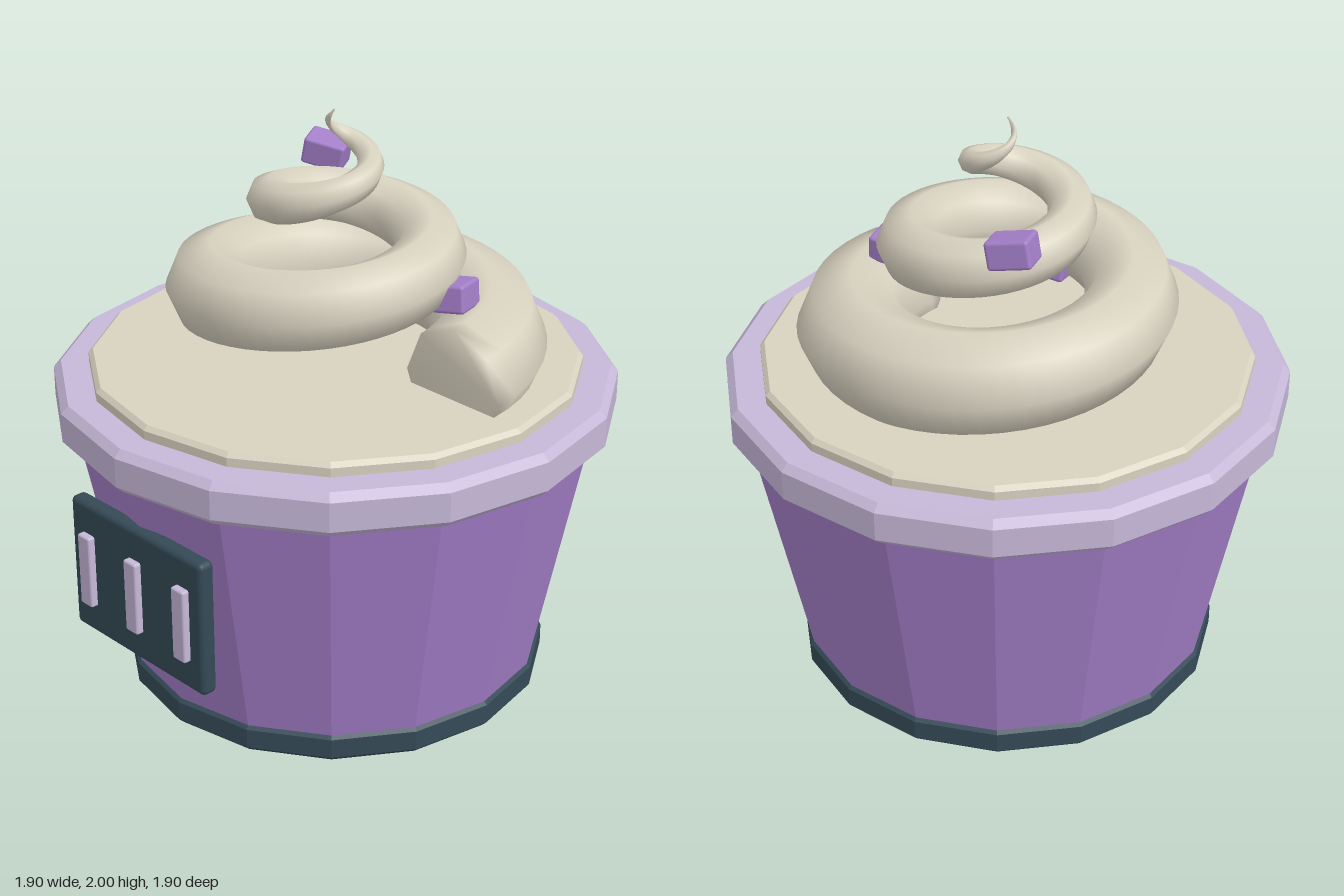
import * as THREE from 'three';
import { RoundedBoxGeometry } from 'three/addons/geometries/RoundedBoxGeometry.js';

const SIDES = 16;

// Faceted 16-sided solid from a [radius, height] profile
function faceted(profile) {
  const pts = profile.map(([r, y]) => new THREE.Vector2(r, y));
  const g = new THREE.LatheGeometry(pts, SIDES).toNonIndexed();
  g.computeVertexNormals();
  return g;
}

// Bevelled disc profile from bottom to top
function disc(r, y0, y1, b) {
  return faceted([[0, y0], [r - b, y0], [r, y0 + b], [r, y1 - b], [r - b, y1], [0, y1]]);
}

// Tapering octagonal tube that spirals inward and up
function swirlGeometry() {
  const turns = 2.65, steps = 140, n = 8;
  const pos = [], idx = [];
  for (let i = 0; i <= steps; i++) {
    const t = (turns * i) / steps, a = t * Math.PI * 2;
    const R = 0.535 - 0.2 * t, r = Math.max(0.2 - 0.0745 * t, 0.004), y = 1.2 + 0.3 * t;
    for (let j = 0; j < n; j++) {
      const b = (j / n) * Math.PI * 2, d = R + r * Math.cos(b);
      pos.push(d * Math.cos(a), y + r * Math.sin(b), -d * Math.sin(a));
    }
  }
  for (let i = 0; i < steps; i++) {
    for (let j = 0; j < n; j++) {
      const k = (j + 1) % n;
      const a = i * n + j, b = i * n + k, c = a + n, d = b + n;
      idx.push(a, c, b, b, c, d);
    }
  }
  // end caps
  const last = steps * n;
  for (let j = 1; j < n - 1; j++) {
    idx.push(0, j, j + 1);
    idx.push(last, last + j + 1, last + j);
  }
  const g = new THREE.BufferGeometry();
  g.setAttribute('position', new THREE.Float32BufferAttribute(pos, 3));
  g.setIndex(idx);
  g.computeVertexNormals();
  return g;
}

export function createModel() {
  const mat = (name, color) => {
    const m = new THREE.MeshStandardMaterial({ color });
    m.name = name;
    return m;
  };
  const purple = mat('purple', 0xa47fc9);
  const lavender = mat('lavender', 0xc6b8d8);
  const slate = mat('dark slate', 0x354a57);
  const cream = mat('cream', 0xd8d2c0);

  const model = new THREE.Group();
  model.name = 'frozenDessertCup';
  const add = (name, geo, material, x = 0, y = 0, z = 0) => {
    const m = new THREE.Mesh(geo, material);
    m.name = name;
    m.position.set(x, y, z);
    model.add(m);
    return m;
  };

  // Cup
  add('base', disc(0.73, 0, 0.105, 0.018), slate);
  add('cupBody', faceted([[0.715, 0.08], [0.895, 0.98]]), purple);
  add('rim', disc(0.95, 0.96, 1.11, 0.025), lavender);
  add('creamSurface', disc(0.83, 1.09, 1.155, 0.015), cream);

  // Front panel with three slats
  add('panel', new RoundedBoxGeometry(0.65, 0.48, 0.06, 2, 0.02), slate, 0, 0.57, 0.86);
  for (const x of [-0.235, 0, 0.235]) {
    add('slat', new RoundedBoxGeometry(0.06, 0.26, 0.04, 2, 0.008), lavender, x, 0.57, 0.895);
  }

  // Cream swirl
  add('swirl', swirlGeometry(), cream);

  // Candy pieces: position, then rotation
  const candies = [
    [-0.295, 1.73, -0.245, 0.1, 0.5, -0.2],
    [0.41, 1.44, -0.14, 0.1, -1.2, 0.12],
    [0.07, 1.36, 0.265, 0.15, 0.4, 0.1],
  ];
  for (const [x, y, z, rx, ry, rz] of candies) {
    const c = add('candy', new RoundedBoxGeometry(0.145, 0.095, 0.115, 2, 0.012), purple, x, y, z);
    c.rotation.set(rx, ry, rz, 'YXZ');
  }
  return model;
}
